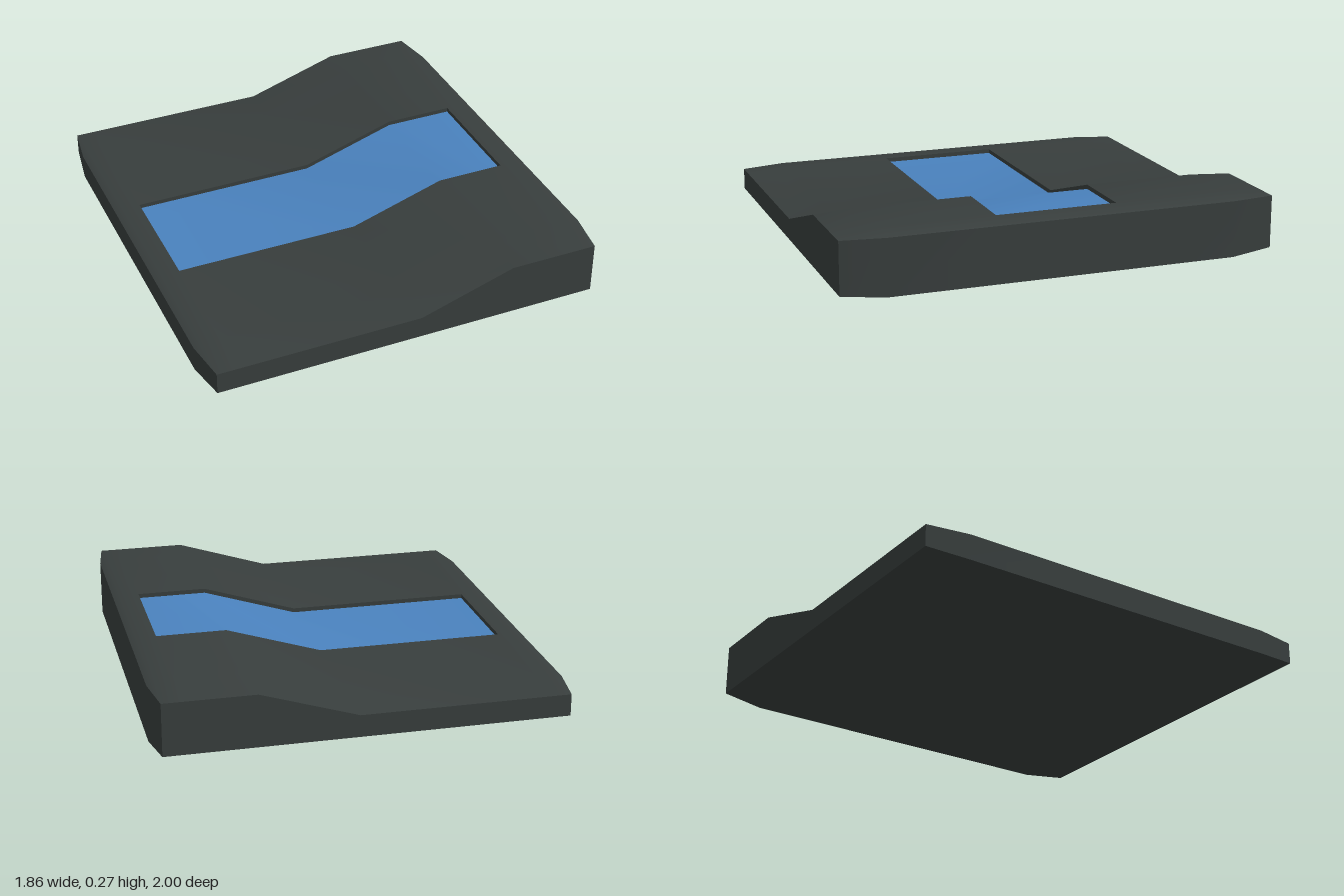
import * as THREE from 'three';
import { toCreasedNormals } from 'three/addons/utils/BufferGeometryUtils.js';

// Stations across the width and depth of the slab
const XS = [-0.93, -0.9, -0.81, 0.05, 0.49, 0.81, 0.9, 0.93];
const ZS = [-1, -0.8, -0.28, 0.28, 0.8, 1];
const PANEL_X = XS.slice(2, 6);
const PANEL_Z = [-0.28, 0.28];
const RECESS = 0.02;

// Low deck, ramp and high deck, with slightly bevelled side edges
function deckHeight(x) {
  const ramp = THREE.MathUtils.clamp((x - 0.05) / 0.44, 0, 1);
  const bevel = Math.max(0, Math.abs(x) - 0.9) / 0.03;
  return 0.13 + 0.14 * ramp - 0.012 * bevel;
}

// The front and back ends taper in on every side
function top(x, z) {
  const end = Math.abs(z) > 0.9;
  const tx = end ? THREE.MathUtils.clamp(x, -0.9, 0.9) : x;
  return [tx, deckHeight(tx) - (end ? 0.013 : 0), z];
}

function bottom(x, z) {
  return [top(x, z)[0], Math.abs(z) > 0.9 ? 0.016 : 0, z];
}

function recessFloor(x, z) {
  return [x, deckHeight(x) - RECESS, z];
}

// Collects quads (dropping collapsed triangles) and builds a geometry
function builder() {
  const positions = [];
  const same = (p, q) => p.every((v, i) => Math.abs(v - q[i]) < 1e-6);
  const tri = (a, b, c) => {
    if (!same(a, b) && !same(b, c) && !same(a, c)) positions.push(...a, ...b, ...c);
  };
  const quad = (a, b, c, d) => { tri(a, b, c); tri(a, c, d); };
  return {
    // Upward sheet, or downward when flipped
    sheet(xs, zs, point, flip = false, skip = () => false) {
      for (let i = 0; i < xs.length - 1; i++) {
        for (let j = 0; j < zs.length - 1; j++) {
          if (skip(xs[i], zs[j])) continue;
          const q = [point(xs[i], zs[j]), point(xs[i], zs[j + 1]),
            point(xs[i + 1], zs[j + 1]), point(xs[i + 1], zs[j])];
          if (flip) q.reverse();
          quad(...q);
        }
      }
    },
    // Wall along a path of [x, z] stations, from lower to upper surface
    wall(path, lower, upper) {
      for (let i = 0; i < path.length - 1; i++) {
        const p = path[i], q = path[i + 1];
        quad(lower(...p), lower(...q), upper(...q), upper(...p));
      }
    },
    build() {
      const geometry = new THREE.BufferGeometry();
      geometry.setAttribute('position', new THREE.Float32BufferAttribute(positions, 3));
      geometry.computeVertexNormals();
      return toCreasedNormals(geometry, 0.6);
    },
  };
}

// Closed loop round a grid: front, right, back, left
function perimeter(xs, zs) {
  const z0 = zs[0], z1 = zs[zs.length - 1];
  const x0 = xs[0], x1 = xs[xs.length - 1];
  return [
    ...xs.map((x) => [x, z1]),
    ...[...zs].reverse().slice(1).map((z) => [x1, z]),
    ...[...xs].reverse().slice(1).map((x) => [x, z0]),
    ...zs.slice(1).map((z) => [x0, z]),
  ];
}

export function createModel() {
  const darkGrey = new THREE.MeshStandardMaterial({ color: 0x383e3d });
  darkGrey.name = 'darkGrey';
  const blue = new THREE.MeshStandardMaterial({ color: 0x4a82be });
  blue.name = 'blue';

  const group = new THREE.Group();
  group.name = 'rampSlab';
  const add = (name, shape, material) => {
    const mesh = new THREE.Mesh(shape.build(), material);
    mesh.name = name;
    group.add(mesh);
  };

  // Slab with an opening in its deck
  const slab = builder();
  const inPanel = (x, z) => x >= -0.81 && x < 0.81 && z >= -0.28 && z < 0.28;
  slab.sheet(XS, ZS, top, false, inPanel);
  slab.sheet(XS, ZS, bottom, true);
  slab.wall(perimeter(XS, ZS), bottom, top);
  add('slab', slab, darkGrey);

  // Inner walls of the recess
  const rim = builder();
  rim.wall(perimeter(PANEL_X, PANEL_Z).reverse(), recessFloor, top);
  add('recessWalls', rim, darkGrey);

  // Blue panel following the deck inside the recess
  const panel = builder();
  panel.sheet(PANEL_X, PANEL_Z, recessFloor);
  add('bluePanel', panel, blue);

  return group;
}
